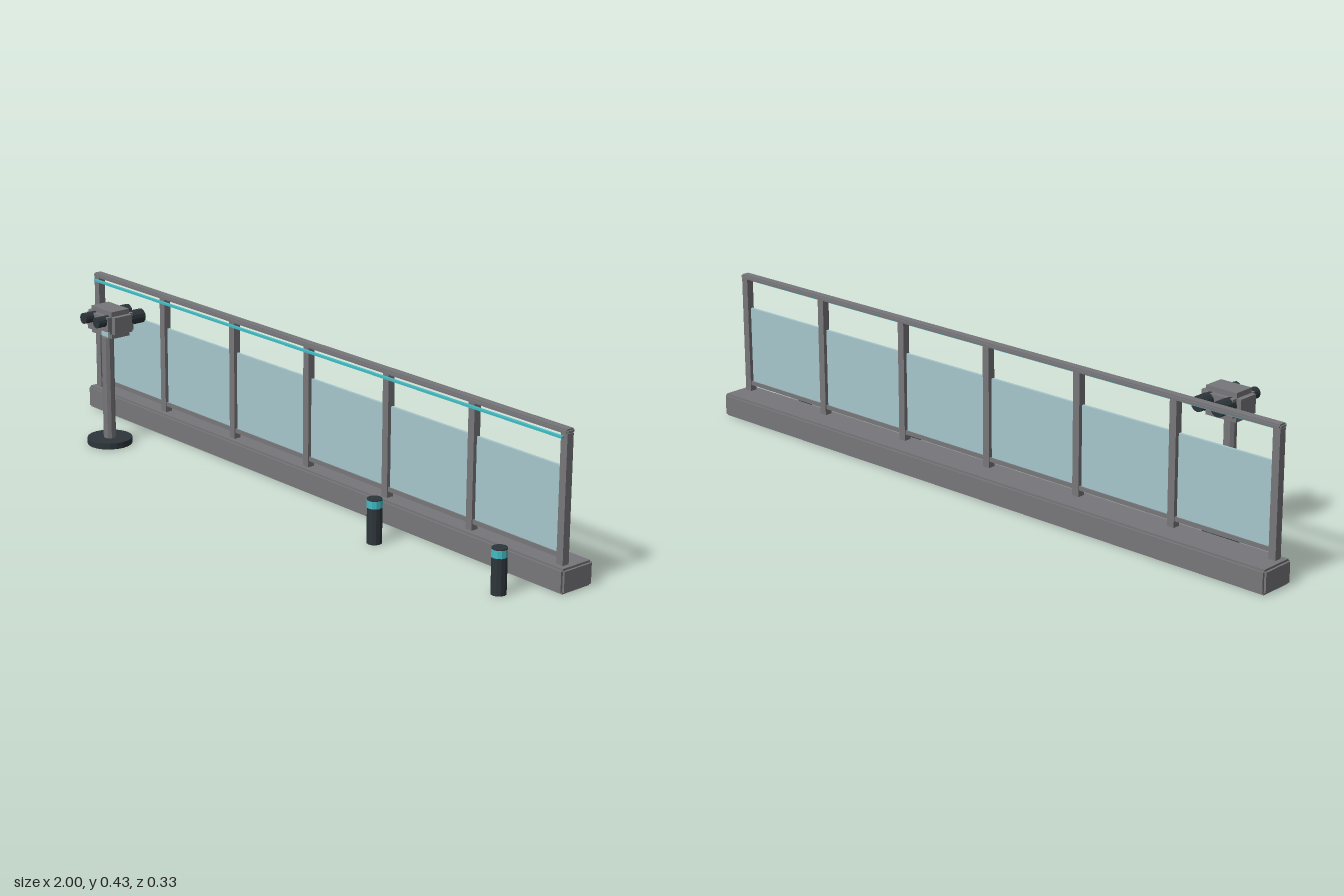
import * as THREE from 'three';

const paint = (name, color) => {
  const m = new THREE.MeshStandardMaterial({ color });
  m.name = name;
  return m;
};

export function createModel() {
  const model = new THREE.Group();
  model.name = 'viewingRailing';
  const metal = paint('grey metal', 0x77777b);
  const dark = paint('dark metal', 0x2e363b);
  const glass = paint('pale glass', 0xa5c7cc);
  const cyan = paint('cyan light', 0x43bcc4);
  for (const m of [dark, metal, cyan]) m.flatShading = true;

  const add = (name, geo, mat, x, y, z, parent = model) => {
    const mesh = new THREE.Mesh(geo, mat);
    mesh.name = name;
    mesh.position.set(x, y, z);
    parent.add(mesh);
    return mesh;
  };
  const box = (name, mat, w, h, d, x, y, z, parent) =>
    add(name, new THREE.BoxGeometry(w, h, d), mat, x, y, z, parent);
  // upright cylinder standing between two heights
  const post = (name, mat, r, y0, y1, sides, x, z, parent) =>
    add(name, new THREE.CylinderGeometry(r, r, y1 - y0, sides), mat, x, (y0 + y1) / 2, z, parent);
  // cylinder lying along z
  const barrel = (name, mat, r, z0, z1, x, y, parent) => {
    const geo = new THREE.CylinderGeometry(r, r, z1 - z0, 12).rotateX(Math.PI / 2);
    return add(name, geo, mat, x, y, (z0 + z1) / 2, parent);
  };
  // block with stepped edges, made of three crossing boxes
  const steppedBlock = (name, mat, w, h, d, s, x, y, z, parent = model) => {
    const g = new THREE.Group();
    g.name = name;
    g.position.set(x, y, z);
    const t = 2 * s;
    box(name + 'Length', mat, w, h - t, d - t, 0, 0, 0, g);
    box(name + 'Height', mat, w - t, h, d - t, 0, 0, 0, g);
    box(name + 'Depth', mat, w - t, h - t, d, 0, 0, 0, g);
    parent.add(g);
  };

  // plinth and handrail
  const railZ = -0.085;
  steppedBlock('plinth', metal, 2, 0.068, 0.11, 0.006, 0, 0.034, -0.11);
  steppedBlock('handrail', metal, 1.964, 0.013, 0.03, 0.004, 0, 0.4195, railZ);
  box('lowerRail', metal, 1.94, 0.012, 0.016, 0, 0.092, railZ);
  box('lightStrip', cyan, 1.94, 0.006, 0.009, 0, 0.405, -0.0685);

  // uprights with a glass pane in each bay
  const bays = 6, pitch = 1.938 / bays;
  for (let i = 0; i <= bays; i++) {
    const x = -0.969 + i * pitch;
    box('upright', metal, 0.022, 0.348, 0.022, x, 0.24, railZ);
    if (i < bays) box('glassPane', glass, pitch - 0.03, 0.227, 0.008, x + pitch / 2, 0.2115, railZ);
  }

  // bollards with a glowing band
  for (const x of [0.427, 0.887]) {
    const g = new THREE.Group();
    g.name = 'bollard';
    g.position.set(x, 0, 0.055);
    post('bollardBody', dark, 0.021, 0, 0.1, 12, 0, 0, g);
    post('bollardBand', cyan, 0.0215, 0.1, 0.121, 12, 0, 0, g);
    post('bollardCap', dark, 0.021, 0.121, 0.124, 12, 0, 0, g);
    model.add(g);
  }

  // binocular viewer on its stand
  const viewer = new THREE.Group();
  viewer.name = 'binocularViewer';
  viewer.position.x = -0.68;
  model.add(viewer);
  post('standFoot', dark, 0.066, 0, 0.018, 20, 0, 0.1, viewer);
  post('standPole', metal, 0.018, 0.018, 0.324, 10, 0, 0.1, viewer);
  steppedBlock('viewerHead', metal, 0.128, 0.08, 0.091, 0.0145, 0, 0.371, 0.0885, viewer);
  for (const side of [-1, 1]) {
    barrel('eyepiece', dark, 0.016, 0.12, 0.162, side * 0.031, 0.383, viewer);
    barrel('objective', dark, 0.021, 0, 0.055, side * 0.032, 0.377, viewer);
  }
  box('viewerPlate', glass, 0.032, 0.013, 0.006, 0.038, 0.3465, 0.134, viewer);

  return model;
}
